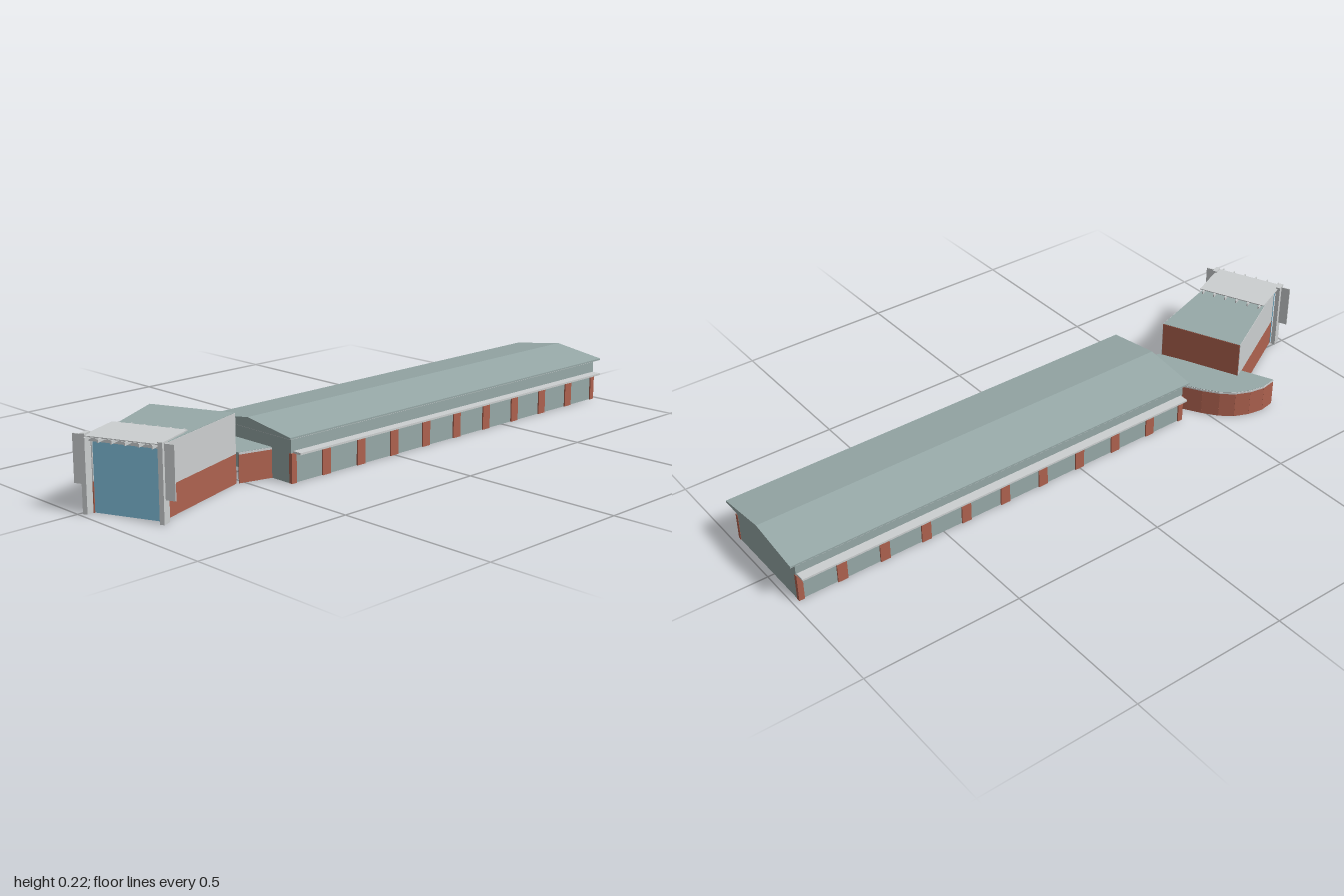
import * as THREE from 'three';

const mat = (name, color) => {
  const m = new THREE.MeshStandardMaterial({ color });
  m.name = name;
  return m;
};

export function createModel() {
  const slate = mat('slate green', 0x97a9a8);
  const brick = mat('brick red', 0xae624f);
  const grey = mat('light grey', 0xcccfd0);
  const glass = mat('blue glass', 0x7fbedb);

  const model = new THREE.Group();
  model.name = 'station';

  const add = (parent, name, geometry, material) => {
    const m = new THREE.Mesh(geometry, material);
    m.name = name;
    parent.add(m);
    return m;
  };
  // Box given by its centre on the plan, its bottom and top
  const box = (parent, name, material, x, z, w, d, y0, y1) => {
    const m = add(parent, name, new THREE.BoxGeometry(w, y1 - y0, d), material);
    m.position.set(x, (y0 + y1) / 2, z);
    return m;
  };
  // Thin upright wall between two plan points [x, z]
  const wall = (parent, name, material, a, b, y0, y1) => {
    const dx = b[0] - a[0], dz = b[1] - a[1];
    const m = box(parent, name, material, (a[0] + b[0]) / 2, (a[1] + b[1]) / 2,
      Math.hypot(dx, dz), 0.003, y0, y1);
    m.rotation.y = -Math.atan2(dz, dx);
  };
  // Flat slab with a plan outline
  const slab = (parent, name, material, outline, y0, y1) => {
    const shape = new THREE.Shape(outline.map(([x, z]) => new THREE.Vector2(x, -z)));
    const g = new THREE.ExtrudeGeometry(shape, { depth: y1 - y0, bevelEnabled: false });
    g.rotateX(-Math.PI / 2);
    add(parent, name, g, material).position.y = y0;
  };
  // Cross-section in x, y drawn out along z
  const prism = (parent, name, material, section, z0, z1) => {
    const shape = new THREE.Shape(section.map(([x, y]) => new THREE.Vector2(x, y)));
    const g = new THREE.ExtrudeGeometry(shape, { depth: z1 - z0, bevelEnabled: false });
    add(parent, name, g, material).position.z = z0;
  };

  // Long hall, open underneath, with a solid low gabled roof and a flat grey ceiling
  const hall = new THREE.Group();
  hall.name = 'hall';
  hall.position.x = 0.03;
  model.add(hall);
  const zBack = -0.98, zFront = 0.415, half = 0.165;
  prism(hall, 'hallRoof', slate,
    [[-0.18, 0.134], [0.18, 0.134], [0.18, 0.139], [0, 0.165], [-0.18, 0.139]], -1, 0.43);
  box(hall, 'hallCeiling', grey, 0, -0.285, 0.359, 1.429, 0.133, 0.1345);
  for (const z of [zBack + 0.002, zFront - 0.002]) {
    box(hall, 'hallEndWall', slate, 0, z, half * 2, 0.004, 0, 0.1335);
  }
  // Brick slats on the inner face where the annex meets the hall
  for (let i = 0; i < 11; i++) {
    box(hall, 'endWallSlat', brick, -0.118 + i * 0.02, zFront - 0.005, 0.01, 0.003, 0, 0.084);
  }
  for (const s of [-1, 1]) {
    wall(hall, 'hallSideWall', slate, [s * half, zBack], [s * half, zFront], 0, 0.1335);
    box(hall, 'sideCanopy', grey, s * 0.18, -0.285, 0.036, 1.385, 0.088, 0.094);
    for (let k = -6; k <= 2; k++) {
      box(hall, 'brickPier', brick, s * half, k * 0.14, 0.012, 0.032, 0, 0.088);
    }
    box(hall, 'cornerPier', brick, s * half, zBack + 0.008, 0.012, 0.018, 0, 0.088);
    box(hall, 'cornerPier', brick, s * half, zFront - 0.008, 0.012, 0.018, 0, 0.088);
  }

  // Low annex with a curved outer wall, joining hall and entrance
  const annex = new THREE.Group();
  annex.name = 'annex';
  model.add(annex);
  const curved = [[-0.09, 0.415], [-0.09, 0.455], [-0.15, 0.49], [-0.195, 0.523], [-0.227, 0.56],
    [-0.247, 0.605], [-0.256, 0.655], [-0.247, 0.705], [-0.145, 0.66]];
  const link = [[0.09, 0.517], [0.115, 0.415]];
  for (const path of [curved, link]) {
    for (let i = 0; i < path.length - 1; i++) {
      wall(annex, 'annexWall', brick, path[i], path[i + 1], 0, 0.084);
      wall(annex, 'annexFascia', grey, path[i], path[i + 1], 0.084, 0.09);
    }
  }
  slab(annex, 'annexRoof', slate, [...curved, [-0.15, 0.635], ...link], 0.0885, 0.091);

  // Entrance block, turned towards the street and narrowing to the front
  const entrance = new THREE.Group();
  entrance.name = 'entrance';
  entrance.position.set(0.1125, 0, 0.922);
  entrance.rotation.y = 0.41;
  model.add(entrance);
  const back = -0.375, wide = 0.134, narrow = 0.1;
  for (const s of [-1, 1]) {
    const a = [s * wide, back], b = [s * narrow, 0];
    wall(entrance, 'lowerSideWall', brick, a, b, 0, 0.087);
    wall(entrance, 'upperSideWall', grey, a, b, 0.087, 0.205);
  }
  wall(entrance, 'backWall', brick, [-wide, back], [wide, back], 0, 0.205);
  slab(entrance, 'entranceRoof', slate,
    [[-wide, back], [-narrow, 0], [narrow, 0], [wide, back]], 0.203, 0.206);
  box(entrance, 'glassFront', glass, 0, -0.006, 0.208, 0.004, 0, 0.198);
  box(entrance, 'lintel', grey, 0, -0.004, 0.215, 0.01, 0.198, 0.207);

  // Front canopy on its beams
  box(entrance, 'frontCanopy', grey, 0, -0.056, 0.228, 0.152, 0.214, 0.217);
  for (let i = 0; i < 6; i++) {
    box(entrance, 'canopyBeam', grey, -0.1 + i * 0.04, -0.055, 0.004, 0.178, 0.206, 0.2155);
  }

  // Posts with upright outer fins
  for (const s of [-1, 1]) {
    box(entrance, 'frontPost', grey, s * 0.115, 0.005, 0.014, 0.03, 0, 0.222);
    box(entrance, 'postFin', grey, s * 0.136, 0.008, 0.03, 0.004, s < 0 ? 0.08 : 0.065, 0.217);
  }
  return model;
}
